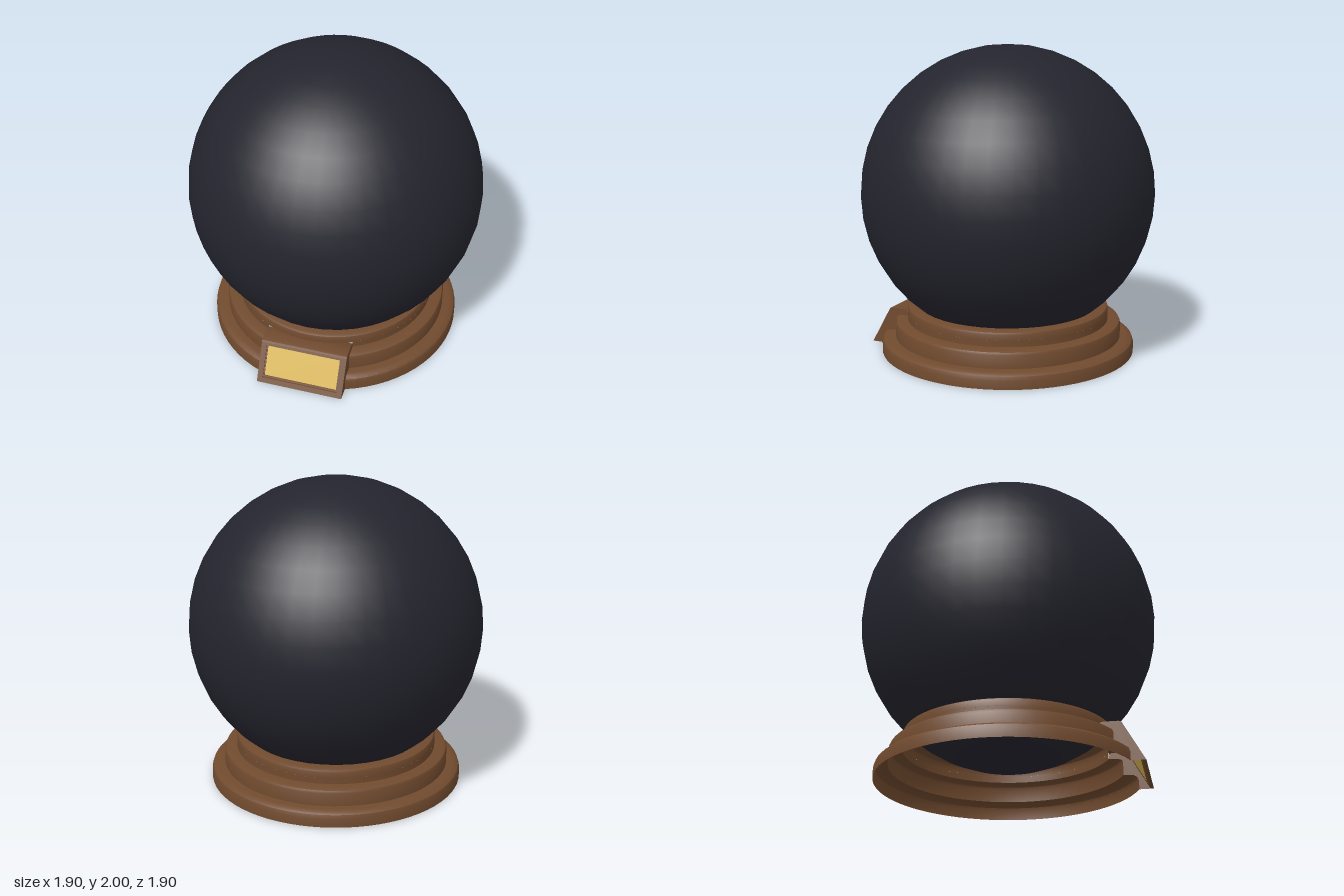
import * as THREE from 'three';
import { toCreasedNormals } from 'three/addons/utils/BufferGeometryUtils.js';

const SIDE = THREE.DoubleSide;
const glass = new THREE.MeshStandardMaterial({ name: 'dark glass', color: 0x24242e });
const wood = new THREE.MeshStandardMaterial({ name: 'brown wood', color: 0x704a2e, side: SIDE });
const brass = new THREE.MeshStandardMaterial({ name: 'brass', color: 0xd6b352, side: SIDE });

const HALF = 0.285; // half width of the plaque housing
const lower = [[0.83, 0], [0.83, 0.055], [0.822, 0.08], [0.805, 0.093], [0.78, 0.098], [0.742, 0.1],
  [0.742, 0.185], [0.735, 0.2], [0.715, 0.208], [0.66, 0.21], [0.66, 0.25]];
const upper = [[0.66, 0.25], [0.66, 0.285], [0.655, 0.298], [0.64, 0.305], [0.58, 0.305]];

// Turned shell; with a gap, every ring stops at the planes x = +-HALF
function turned(profile, gap) {
  const g = new THREE.LatheGeometry(profile.map(p => new THREE.Vector2(...p)), 64);
  if (gap) {
    const { position, uv } = g.attributes;
    for (let i = 0; i < position.count; i++) {
      const r = Math.hypot(position.getX(i), position.getZ(i));
      const a = Math.asin(HALF / r);
      const phi = a + uv.getX(i) * 2 * (Math.PI - a);
      position.setX(i, r * Math.sin(phi));
      position.setZ(i, r * Math.cos(phi));
    }
  }
  return toCreasedNormals(g, 0.6);
}

// Rectangular path
function rect(path, w, y0, y1) {
  return path.moveTo(-w, y0).lineTo(w, y0).lineTo(w, y1).lineTo(-w, y1).closePath();
}

// Panel laid on the leaning plaque face, its front sunk by the given amount
function leaning(outer, hole, depth, sink) {
  const s = rect(new THREE.Shape(), ...outer);
  if (hole) s.holes.push(rect(new THREE.Path(), ...hole));
  const g = new THREE.ExtrudeGeometry(s, { depth, bevelEnabled: false });
  const p = g.attributes.position;
  for (let i = 0; i < p.count; i++) p.setZ(i, p.getZ(i) - depth - sink + 0.87 - 0.555 * p.getY(i));
  g.computeVertexNormals();
  return g;
}

export function createModel() {
  const model = new THREE.Group();
  model.name = 'crystalBall';
  const add = (name, geometry, material, parent = model) => {
    const m = new THREE.Mesh(geometry, material);
    m.name = name;
    parent.add(m);
    return m;
  };

  add('globe', new THREE.SphereGeometry(0.95, 40, 20), glass).position.y = 1.05;

  // Hollow stepped base, open at the plaque
  add('baseSteps', turned(lower, true), wood);
  add('baseCollar', turned(upper, false), wood);

  const plaque = new THREE.Group();
  plaque.name = 'plaque';
  model.add(plaque);

  // Cheeks fill from the leaning face back to the stepped outline
  const top = [[0.74, 0.235], [0.733, 0.246], [0.715, 0.25], [0.615, 0.25], [0.6, 0.24]];
  const steps = lower.slice(0, -1).reverse().map(([r, y]) => [Math.sqrt(r * r - HALF * HALF), y]);
  const outline = [[0.87, 0], ...top, ...steps].map(p => new THREE.Vector2(...p));
  for (const side of [-1, 1]) {
    const g = new THREE.ShapeGeometry(new THREE.Shape(outline));
    g.rotateY(-Math.PI / 2);
    if (side > 0) g.index.array.reverse();
    g.computeVertexNormals();
    add(side > 0 ? 'leftCheek' : 'rightCheek', g, wood, plaque).position.x = side * HALF;
  }

  // Rounded cover strip over the top
  const pos = [], idx = [];
  top.forEach(([z, y], i) => {
    pos.push(-HALF, y, z, HALF, y, z);
    if (i) {
      const k = 2 * i;
      idx.push(k - 2, k - 1, k, k - 1, k + 1, k);
    }
  });
  const cover = new THREE.BufferGeometry();
  cover.setAttribute('position', new THREE.Float32BufferAttribute(pos, 3));
  cover.setIndex(idx);
  add('plaqueCover', toCreasedNormals(cover, 0.7), wood, plaque);

  // Frame, inner lip and brass plate
  add('plaqueFrame', leaning([HALF, 0, 0.235], [0.25, 0.03, 0.223], 0.02, 0), wood, plaque);
  add('plaqueLip', leaning([0.25, 0.03, 0.223], [0.241, 0.039, 0.214], 0.01, 0.008), wood, plaque);
  add('namePlate', leaning([0.245, 0.035, 0.218], null, 0.006, 0.012), brass, plaque);

  return model;
}
